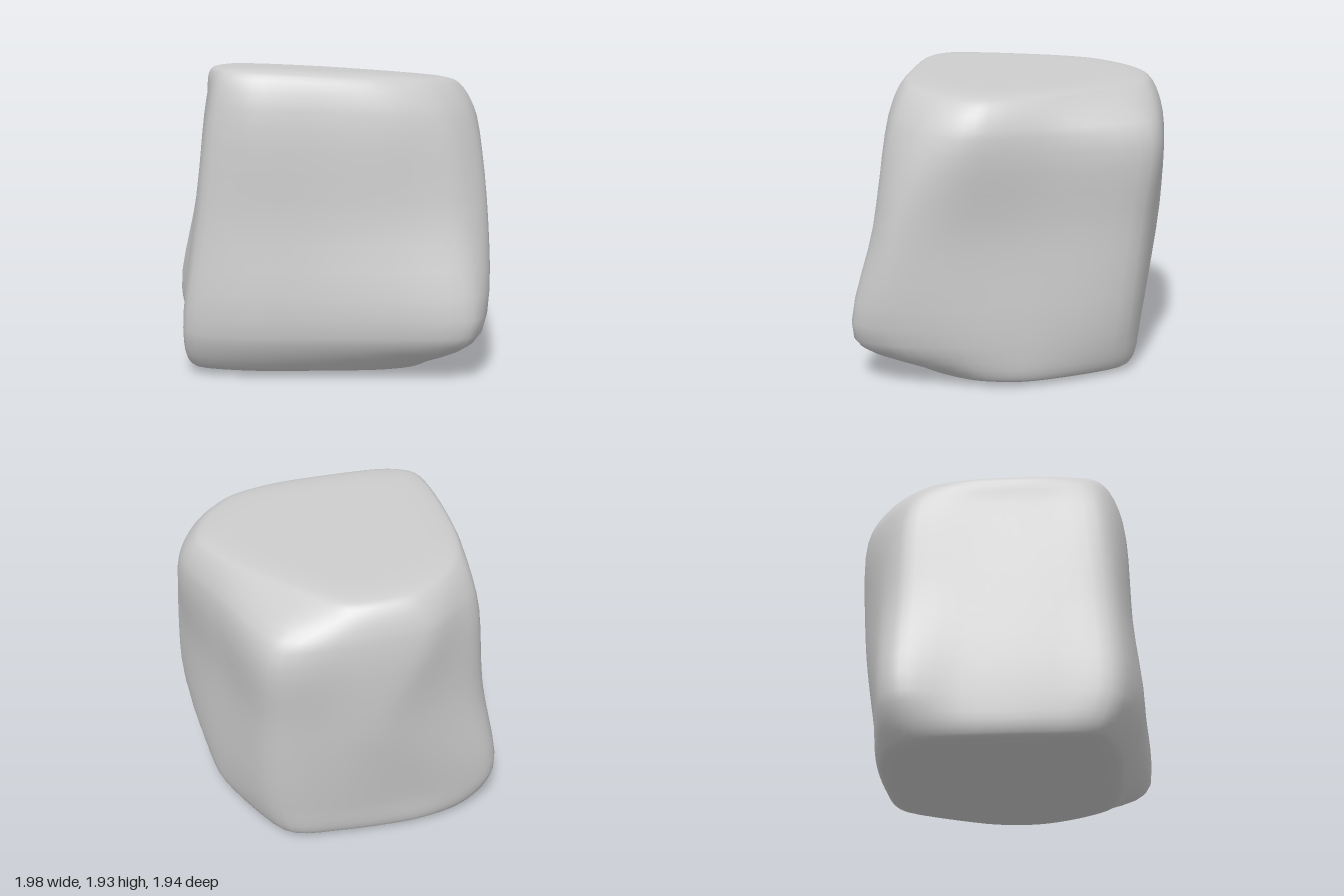
import * as THREE from 'three';

const SEGMENTS = 75;
const STEPS = 50;

// Plan outlines [x, z], running from the front left corner round the right and back
const BASE = [[-.87, .58], [-.52, .7], [-.1, .73], [.3, .74], [.56, .67], [.75, .42], [.84, .15], [.79, -.2],
  [.47, -.74], [.1, -.81], [-.4, -.8], [-.72, -.72], [-.9, -.55], [-.92, -.2], [-.91, .25]];
const LOW = [[-.91, .67], [-.55, .82], [-.1, .87], [.42, .93], [.82, .94], [.95, .68], [.93, .24], [.82, -.22],
  [.55, -.77], [.1, -.86], [-.45, -.83], [-.88, -.75], [-.99, -.6], [-.94, -.25], [-.93, .3]];
const MID = [[-.82, .66], [-.5, .79], [-.1, .82], [.35, .84], [.78, .81], [.98, .64], [.94, .24], [.77, -.31],
  [.56, -.84], [.15, -.94], [-.22, -.95], [-.7, -.79], [-.86, -.62], [-.86, -.2], [-.86, .3]];
const HIGH = [[-.74, .62], [-.5, .76], [-.1, .78], [.35, .78], [.7, .7], [.9, .49], [.97, .16], [.78, -.32],
  [.54, -.88], [.12, -.96], [-.38, -.94], [-.63, -.78], [-.78, -.6], [-.78, -.2], [-.77, .25]];
const RIM = [[-.68, .58], [-.48, .69], [-.12, .71], [.27, .7], [.58, .62], [.78, .42], [.87, .12], [.68, -.27],
  [.38, -.63], [.08, -.86], [-.3, -.86], [-.54, -.72], [-.7, -.5], [-.75, -.2], [-.74, .25]];

// [outline, scale, height] from the underside centre up the flanks to the top centre
const LEVELS = [[BASE, 0, .015], [BASE, .5, .015], [BASE, .92, .025], [BASE, 1, .06], [LOW, 1, .3], [MID, 1, 1],
  [HIGH, 1, 1.65], [RIM, 1, 1.85], [RIM, .9, 1.885], [RIM, .45, 1.897], [RIM, 0, 1.897]];

// Closed plan curve; equal parameters match on every outline
const planCurve = (points) =>
  new THREE.CatmullRomCurve3(points.map(([x, z]) => new THREE.Vector3(x, 0, z)), true, 'catmullrom', 0.4);

function stoneGeometry() {
  const plans = LEVELS.map(([outline]) => planCurve(outline));
  const positions = [], indices = [];

  for (let j = 0; j < SEGMENTS; j++) {
    // One vertical rib of the stone
    const rib = new THREE.CatmullRomCurve3(LEVELS.map(([, scale, height], k) => {
      const p = plans[k].getPoint(j / SEGMENTS).multiplyScalar(scale);
      // The top slopes down to the right and back; the underside lifts at the front
      const top = THREE.MathUtils.smoothstep(height, 1, 1.8);
      p.y = height + top * (.03 * p.z - .055 * p.x) + (height < .2 ? .015 * p.z : 0);
      return p;
    }));
    for (let i = 0; i <= STEPS; i++) {
      const p = rib.getPoint(i / STEPS);
      positions.push(p.x, p.y, p.z);
      if (i < STEPS) {
        const a = j * (STEPS + 1) + i, b = ((j + 1) % SEGMENTS) * (STEPS + 1) + i;
        indices.push(a, b, b + 1, a, b + 1, a + 1);
      }
    }
  }

  const geometry = new THREE.BufferGeometry();
  geometry.setAttribute('position', new THREE.Float32BufferAttribute(positions, 3));
  geometry.setIndex(indices);
  geometry.computeVertexNormals();
  return geometry;
}

export function createModel() {
  const group = new THREE.Group();
  group.name = 'rock';
  const stone = new THREE.Mesh(stoneGeometry(), new THREE.MeshStandardMaterial({ color: 0xcccccc }));
  stone.name = 'stoneBlock';
  group.add(stone);
  return group;
}
